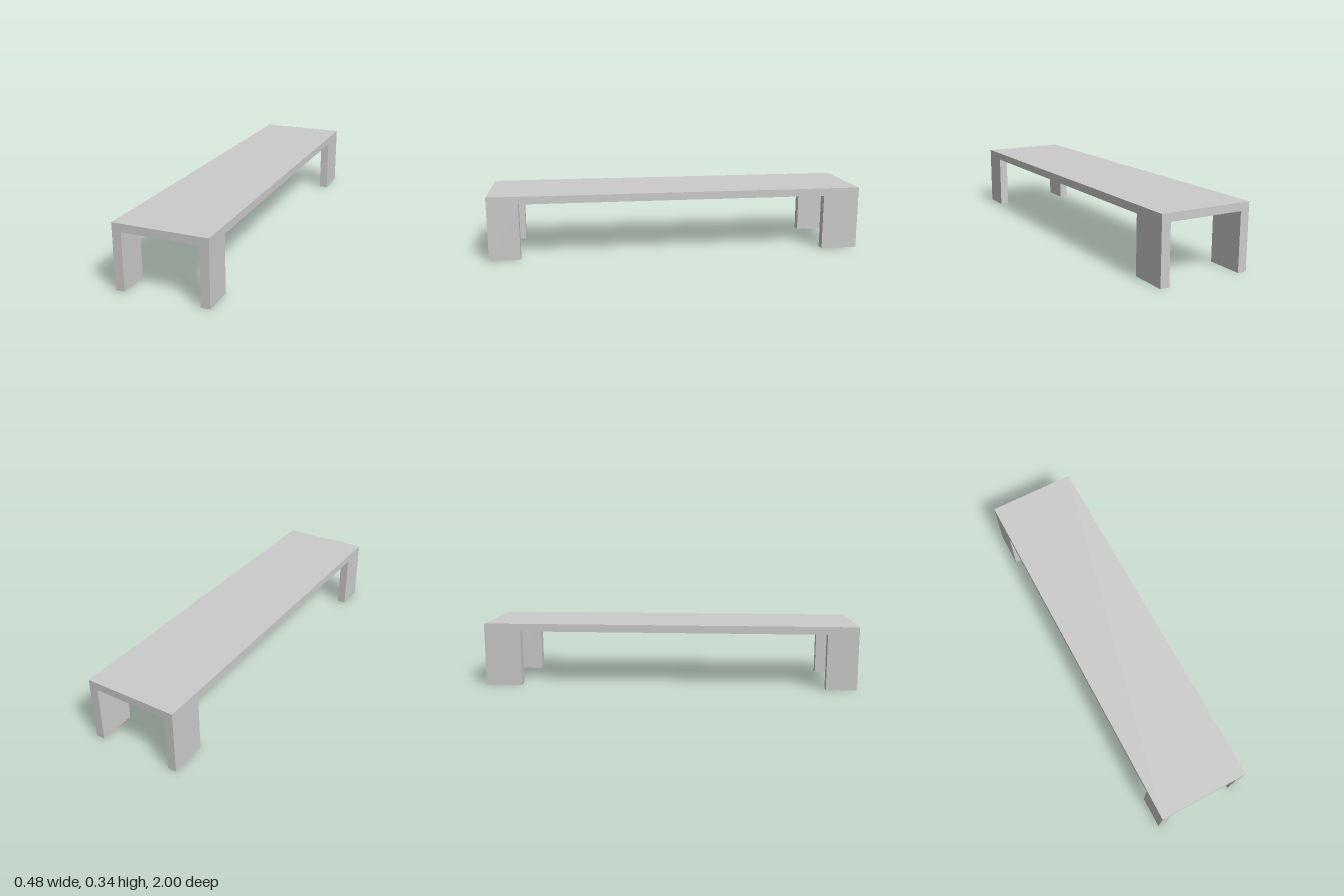
import * as THREE from 'three';

const WIDTH = 0.484, LENGTH = 2, HEIGHT = 0.338;
const LEG_HEIGHT = 0.297, LEG_WIDTH = 0.047;

export function createModel() {
  const group = new THREE.Group();
  group.name = 'bench';
  const material = new THREE.MeshStandardMaterial({ color: 0xcccccc, flatShading: true });

  const addBox = (name, w, h, d, x, y, z) => {
    const mesh = new THREE.Mesh(new THREE.BoxGeometry(w, h, d), material);
    mesh.name = name;
    mesh.position.set(x, y, z);
    group.add(mesh);
  };

  // Flat slab top
  const thickness = HEIGHT - LEG_HEIGHT;
  addBox('top', WIDTH, thickness, LENGTH, 0, LEG_HEIGHT + thickness / 2, 0);

  // Corner legs flush with the slab edges; the back pair is deeper
  const ends = [
    { name: 'front', dir: 1, depth: 0.163 },
    { name: 'back', dir: -1, depth: 0.197 },
  ];
  for (const { name, dir, depth } of ends) {
    for (const side of [1, -1]) {
      addBox(
        `${name}${side > 0 ? 'Left' : 'Right'}Leg`,
        LEG_WIDTH, LEG_HEIGHT, depth,
        side * (WIDTH - LEG_WIDTH) / 2, LEG_HEIGHT / 2, dir * (LENGTH - depth) / 2
      );
    }
  }
  return group;
}
